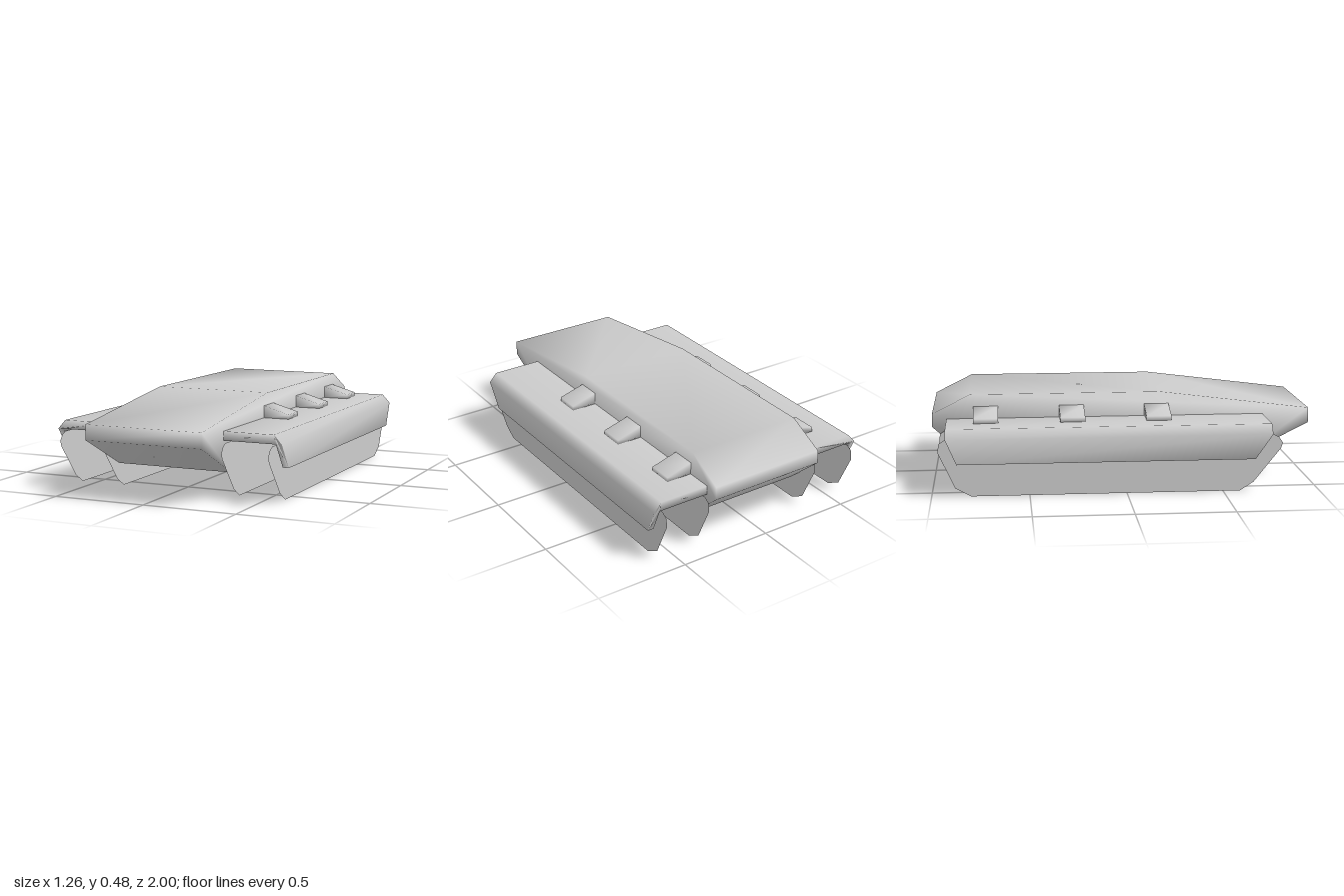
import * as THREE from 'three';
import { mergeVertices } from 'three/addons/utils/BufferGeometryUtils.js';

const grey = new THREE.MeshStandardMaterial({ color: 0xcccccc });
const thin = new THREE.MeshStandardMaterial({ color: 0xcccccc, side: THREE.DoubleSide });

const outline = (points) => new THREE.Shape(points.map(([x, y]) => new THREE.Vector2(x, y)));

// Closed prism of a section, from depth a to depth b
function prism(points, a, b) {
  const geometry = new THREE.ExtrudeGeometry(outline(points), { depth: b - a, bevelEnabled: false });
  return geometry.translate(0, 0, a);
}

// Share corners so the normals blend across all edges
function smooth(geometry) {
  geometry.deleteAttribute('normal');
  geometry.deleteAttribute('uv');
  const merged = mergeVertices(geometry, 1e-4);
  merged.computeVertexNormals();
  return merged;
}

function add(parent, name, geometry, material = grey) {
  const mesh = new THREE.Mesh(geometry, material);
  mesh.name = name;
  parent.add(mesh);
}

export function createModel() {
  const model = new THREE.Group();
  model.name = 'trackedHull';

  // Hull: side profile as (z, y), extruded across the width
  const hullProfile = [
    [1, 0.38], [0.2, 0.48], [-0.8, 0.48], [-1, 0.38],
    [-1, 0.31], [-0.8, 0.13], [0.66, 0.13], [1, 0.3],
  ];
  add(model, 'hull', smooth(prism(hullProfile, -0.32, 0.32).rotateY(-Math.PI / 2)));

  // Side profile of the thin track plates as (z, y)
  const trackProfile = [
    [0.59, 0], [0.66, 0.045], [0.8, 0.22], [0.81, 0.25], [0.79, 0.28], [0.76, 0.295],
    [-0.93, 0.295], [-0.96, 0.275], [-0.965, 0.23], [-0.88, 0.045], [-0.8, 0],
  ];
  // Fender with its hanging skirt, and bracket, as (x, y) sections
  const fenderSection = [
    [0.32, 0.352], [0.59, 0.352], [0.632, 0.305], [0.632, 0.176],
    [0.6, 0.176], [0.6, 0.305], [0.32, 0.305],
  ];
  const bracketSection = [[0.32, 0.35], [0.46, 0.35], [0.46, 0.376], [0.32, 0.416]];

  for (const [side, s] of [['left', 1], ['right', -1]]) {
    const mirrored = (points) => points.map(([x, y]) => [s * x, y]);

    // Skirt ends slope inward towards the lower edge
    const fender = prism(mirrored(fenderSection), -0.925, 0.75);
    const p = fender.attributes.position;
    for (let i = 0; i < p.count; i++) {
      if (p.getY(i) < 0.2) p.setZ(i, p.getZ(i) > 0 ? 0.66 : -0.87);
    }
    add(model, side + 'Fender', smooth(fender));

    // Row of wedge brackets between hull and fender
    for (const z of [0.18, -0.27, -0.72]) {
      add(model, side + 'Bracket', smooth(prism(mirrored(bracketSection), z - 0.065, z + 0.065)));
    }

    // Inner and outer track plates
    for (const [place, x] of [['Inner', 0.335], ['Outer', 0.585]]) {
      const plate = new THREE.ShapeGeometry(outline(trackProfile)).rotateY(-Math.PI / 2);
      add(model, side + place + 'TrackPlate', plate.translate(s * x, 0, 0), thin);
    }
  }
  return model;
}
